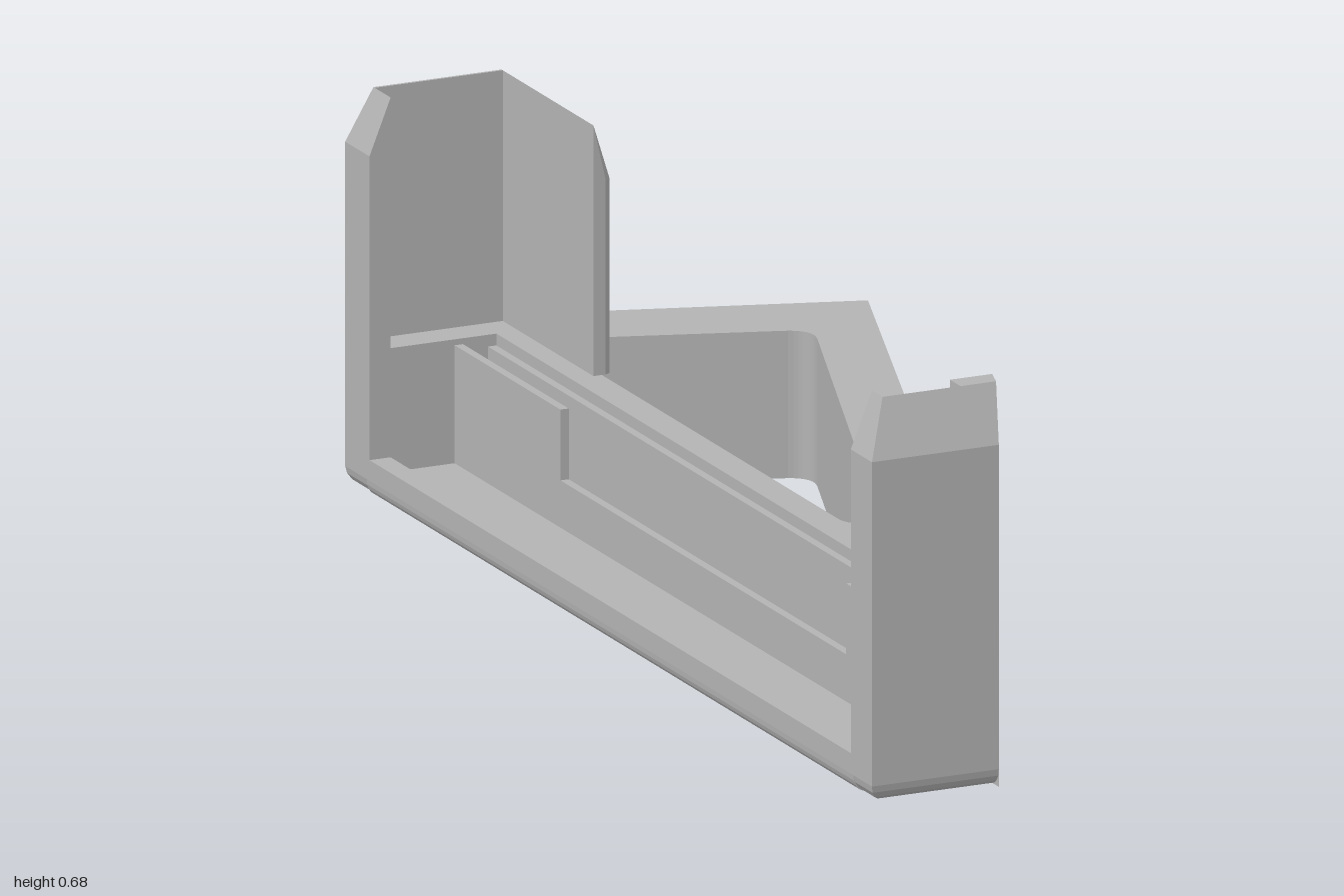
import * as THREE from 'three';
import { ConvexGeometry } from 'three/addons/geometries/ConvexGeometry.js';

const BASE = 0.25, SHOULDER = 0.58, TOP = 0.675;

export function createModel() {
  const group = new THREE.Group();
  const grey = new THREE.MeshStandardMaterial({ color: 0xb3b3b3 });
  grey.name = 'plain grey';

  const add = (name, geometry) => {
    const mesh = new THREE.Mesh(geometry, grey);
    mesh.name = name;
    group.add(mesh);
    return mesh;
  };

  // Convex solid from plan outlines [[x, z], ...] stacked at given heights
  const stack = (name, levels) => {
    const points = [];
    for (const [y, plan] of levels) for (const [x, z] of plan) points.push(new THREE.Vector3(x, y, z));
    return add(name, new ConvexGeometry(points));
  };

  const box = (name, x0, x1, y0, y1, z0, z1) => {
    const mesh = add(name, new THREE.BoxGeometry(x1 - x0, y1 - y0, z1 - z0));
    mesh.position.set((x0 + x1) / 2, (y0 + y1) / 2, (z0 + z1) / 2);
  };

  // Triangular foot with a rounded triangular opening
  const foot = new THREE.Shape();
  foot.moveTo(-0.2, -1);
  foot.lineTo(0.425, 0.81);
  foot.lineTo(-0.125, 0.985);
  foot.lineTo(-0.2, 0.985);
  foot.closePath();
  const hole = new THREE.Path();
  hole.moveTo(-0.145, -0.28);
  hole.lineTo(-0.145, 0.835);
  hole.lineTo(-0.12, 0.83);
  hole.lineTo(0.225, 0.715);
  hole.quadraticCurveTo(0.275, 0.7, 0.258, 0.65);
  hole.lineTo(-0.075, -0.285);
  hole.quadraticCurveTo(-0.09, -0.315, -0.11, -0.315);
  hole.quadraticCurveTo(-0.142, -0.315, -0.145, -0.28);
  foot.holes.push(hole);
  const footGeometry = new THREE.ExtrudeGeometry(foot, { depth: BASE, bevelEnabled: false, curveSegments: 10 });
  footGeometry.rotateX(-Math.PI / 2);
  add('triangularFoot', footGeometry);

  // Long tray: outer lip, floor, low rib, slot and back face
  const tray = new THREE.Shape();
  tray.moveTo(-0.2, 0);
  tray.lineTo(-0.2, 0.12);
  [[-0.215, 0.12], [-0.215, 0.05], [-0.26, 0.05], [-0.26, 0.12], [-0.275, 0.12], [-0.275, 0.04],
    [-0.37, 0.04], [-0.37, 0.05], [-0.39, 0.05], [-0.39, 0.065], [-0.428, 0.065], [-0.428, 0.03]]
    .forEach(([x, y]) => tray.lineTo(x, y));
  tray.quadraticCurveTo(-0.428, 0, -0.398, 0);
  tray.closePath();
  const trayGeometry = new THREE.ExtrudeGeometry(tray, { depth: 1.84, bevelEnabled: false, curveSegments: 6 });
  trayGeometry.translate(0, 0, -0.91);
  add('tray', trayGeometry);

  // Raised ends of the rib
  box('ribBack', -0.275, -0.26, 0.1, 0.24, -0.91, -0.5);
  box('ribFront', -0.275, -0.26, 0.1, 0.24, 0.58, 0.93);

  // Heights and insets of the rounded bottom edge
  const rounding = [0, 1, 2, 3, 4].map((i) => {
    const a = (i / 4) * Math.PI / 2;
    return [0.03 * (1 - Math.cos(a)), 0.03 * (1 - Math.sin(a))];
  });

  // Front end: solid base, thin plate with chamfered top, two side flanges
  const frontBase = (d) => [[-0.428 + d, 0.92], [-0.428 + d, 1 - d], [-0.2, 1 - d], [-0.2, 0.92]];
  stack('frontBase', [...rounding.map(([y, d]) => [y, frontBase(d)]), [BASE, frontBase(0)]]);
  const frontPlate = [[-0.428, 0.96], [-0.428, 1], [-0.2, 1], [-0.186, 0.96]];
  stack('frontPlate', [[BASE, frontPlate], [SHOULDER, frontPlate], [TOP, [[-0.39, 0.96], [-0.186, 0.96]]]]);
  const frontInner = [[-0.25, 0.92], [-0.25, 0.96], [-0.186, 0.96], [-0.174, 0.92]];
  stack('frontInnerFlange', [[BASE, frontInner], [TOP, frontInner]]);

  // Outer flange whose top runs to a sharp edge
  const outerFlange = (name, z0, z1) => {
    const plan = [[-0.428, z0], [-0.428, z1], [-0.39, z0], [-0.39, z1]];
    stack(name, [[0.04, plan], [SHOULDER, plan], [TOP, [[-0.39, z0], [-0.39, z1]]]]);
  };
  outerFlange('frontOuterFlange', 0.92, 0.96);
  outerFlange('backOuterFlange', -0.96, -0.9);

  // Back end: solid base, thin plate chamfered on three sides
  const backBase = (d) => [[-0.428 + d, -0.9], [-0.428 + d, -0.992 + d], [-0.42 + d, -1 + d],
    [-0.133, -1 + d], [-0.125, -0.992 + d], [-0.125, -0.9]];
  stack('backBase', [...rounding.map(([y, d]) => [y, backBase(d)]), [BASE, backBase(0)]]);
  const backPlate = [[-0.428, -0.96], [-0.428, -0.992], [-0.42, -1], [-0.133, -1], [-0.125, -0.992], [-0.125, -0.96]];
  stack('backPlate', [[BASE, backPlate], [SHOULDER, backPlate], [TOP, [[-0.39, -0.965], [-0.39, -0.96], [-0.16, -0.965], [-0.16, -0.96]]]]);

  // Side wall returning from the back end, with a rounded nose
  const wall = [[-0.16, -0.96], [-0.125, -0.96], [-0.125, -0.632], [-0.129, -0.622], [-0.138, -0.617], [-0.16, -0.617]];
  stack('backSideWall', [[BASE, wall], [SHOULDER, wall], [TOP, [[-0.16, -0.96], [-0.16, -0.617]]]]);

  // Raised inner face of the foot along the tray
  box('innerFaceStep', -0.215, -0.2, 0.1, 0.23, -0.91, 0.93);

  return group;
}
